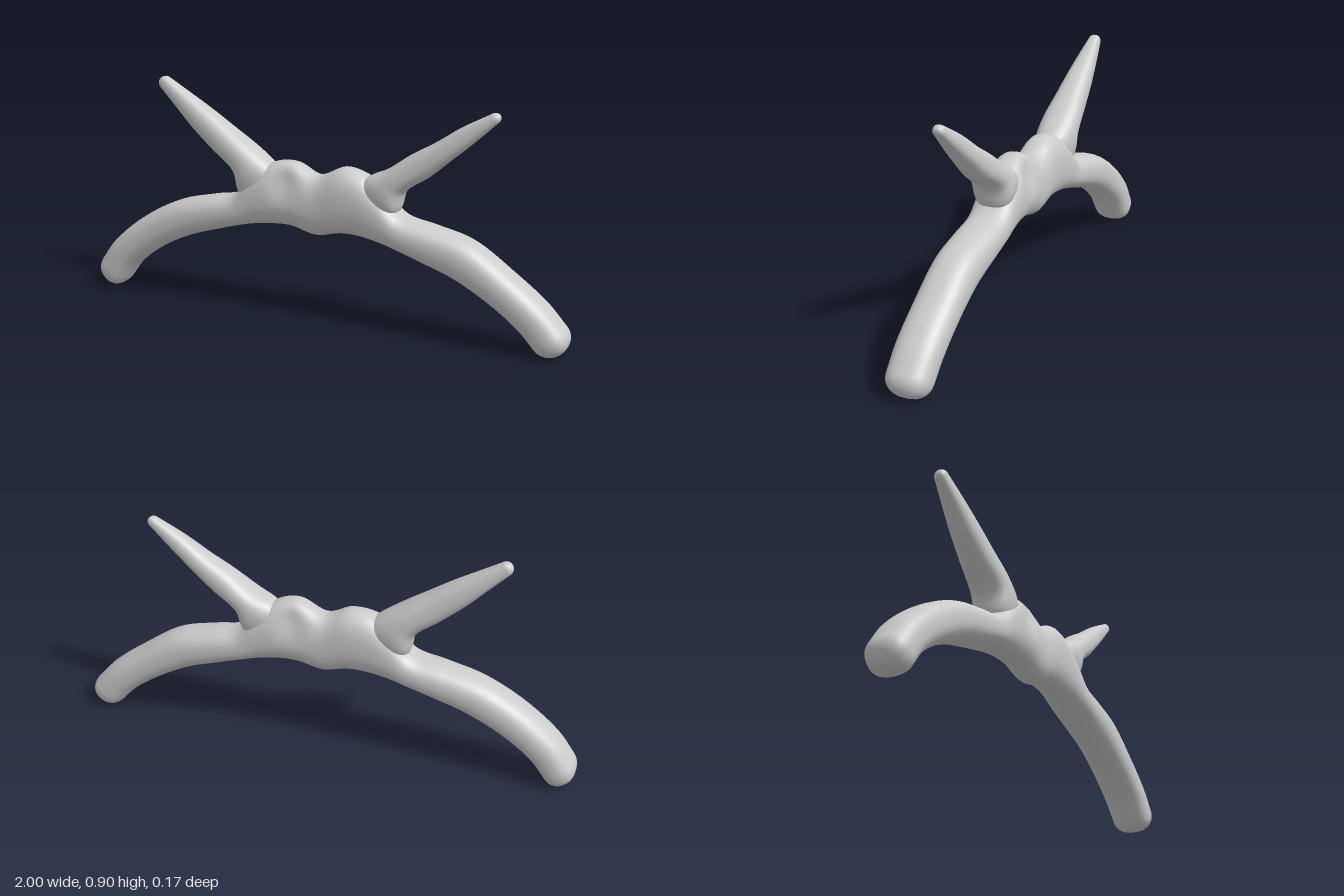
import * as THREE from 'three';

const material = new THREE.MeshStandardMaterial({ color: 0xcccccc });
const SIDES = 32;

// Smooth sweep through stations [topX, topY, bottomX, bottomY, halfDepth];
// dome lengths round off the first and last station (0 = flat, buried end).
function sweep(name, stations, steps, domeStart, domeEnd, warp) {
  const curve = (f) => new THREE.CatmullRomCurve3(stations.map(f));
  const top = curve((s) => new THREE.Vector3(s[0], s[1], s[4]));
  const bottom = curve((s) => new THREE.Vector3(s[2], s[3], s[4]));
  const rings = [];
  for (let i = 0; i <= steps; i++) {
    const a = top.getPoint(i / steps), b = bottom.getPoint(i / steps);
    rings.push({
      cx: (a.x + b.x) / 2, cy: (a.y + b.y) / 2,
      hx: (a.x - b.x) / 2, hy: (a.y - b.y) / 2, hz: a.z,
    });
  }

  // Rounded end rings that shrink along the outward direction
  const dome = (ring, inner, length) => {
    const dir = new THREE.Vector2(ring.cx - inner.cx, ring.cy - inner.cy).normalize();
    const out = [];
    for (let k = 1; k <= 7; k++) {
      const angle = (k / 7) * Math.PI / 2;
      const d = Math.sin(angle) * length, s = Math.max(Math.cos(angle), 0.01);
      out.push({
        cx: ring.cx + dir.x * d, cy: ring.cy + dir.y * d,
        hx: ring.hx * s, hy: ring.hy * s, hz: ring.hz * Math.pow(s, 0.8),
      });
    }
    return out;
  };
  const last = rings.length - 1;
  const all = [
    ...(domeStart ? dome(rings[0], rings[1], domeStart).reverse() : []),
    ...rings,
    ...(domeEnd ? dome(rings[last], rings[last - 1], domeEnd) : []),
  ];

  // Sweeps that run leftward across their section need the opposite winding
  const first = rings[0], end = rings[last];
  const flip = (end.cx - first.cx) * first.hy - (end.cy - first.cy) * first.hx < 0;

  // Slightly squared oval cross-sections
  const round = (v) => Math.sign(v) * Math.pow(Math.abs(v), 0.82);
  const p = new THREE.Vector3();
  const positions = [], index = [];
  all.forEach((r, i) => {
    for (let j = 0; j < SIDES; j++) {
      const angle = (j / SIDES) * Math.PI * 2;
      const c = round(Math.cos(angle)), s = round(Math.sin(angle));
      p.set(r.cx + r.hx * c, r.cy + r.hy * c, r.hz * s);
      if (warp) warp(p);
      positions.push(p.x, p.y, p.z);
      if (i === all.length - 1) continue;
      const here = i * SIDES + j, next = i * SIDES + (j + 1) % SIDES;
      const [a, b] = flip ? [next, here] : [here, next];
      index.push(a, b, a + SIDES, b, b + SIDES, a + SIDES);
    }
  });
  const geometry = new THREE.BufferGeometry();
  geometry.setAttribute('position', new THREE.Float32BufferAttribute(positions, 3));
  geometry.setIndex(index);
  geometry.computeVertexNormals();
  const mesh = new THREE.Mesh(geometry, material);
  mesh.name = name;
  return mesh;
}

// Shallow hollows: front of the right lobe, back of the left lobe
function dentLobes(p) {
  const side = p.z > 0 ? -1 : 1;
  const d2 = (p.x - side * 0.12) ** 2 + (p.y - 0.55) ** 2;
  p.z *= 1 - 0.32 * Math.exp(-d2 / 0.004);
}

export function createModel() {
  const group = new THREE.Group();
  group.name = 'forkedBow';

  // Arched bow, running tip to tip through the two-lobed middle
  group.add(sweep('bowBody', [
    [-0.985, 0.11, -0.883, 0.018, 0.082],
    [-0.92, 0.195, -0.82, 0.1, 0.084],
    [-0.78, 0.31, -0.7, 0.19, 0.084],
    [-0.62, 0.395, -0.56, 0.26, 0.084],
    [-0.47, 0.435, -0.44, 0.3, 0.084],
    [-0.35, 0.463, -0.33, 0.333, 0.084],
    [-0.27, 0.545, -0.26, 0.348, 0.084],
    [-0.19, 0.602, -0.18, 0.358, 0.084],
    [-0.1, 0.612, -0.1, 0.358, 0.083],
    [0, 0.572, 0, 0.335, 0.078],
    [0.11, 0.615, 0.1, 0.355, 0.083],
    [0.19, 0.598, 0.18, 0.355, 0.084],
    [0.27, 0.535, 0.26, 0.342, 0.084],
    [0.35, 0.457, 0.33, 0.325, 0.084],
    [0.47, 0.43, 0.44, 0.288, 0.084],
    [0.62, 0.39, 0.56, 0.245, 0.084],
    [0.78, 0.285, 0.7, 0.17, 0.084],
    [0.91, 0.185, 0.81, 0.09, 0.084],
    [0.985, 0.105, 0.878, 0.018, 0.082],
  ], 150, 0.065, 0.065, dentLobes));

  // Tapering prongs, flared where they leave the body
  group.add(sweep('leftProng', [
    [0.13, 0.53, 0.23, 0.4, 0.045],
    [0.21, 0.592, 0.328, 0.465, 0.077],
    [0.28, 0.625, 0.355, 0.545, 0.076],
    [0.375, 0.692, 0.45, 0.615, 0.064],
    [0.465, 0.745, 0.53, 0.685, 0.054],
    [0.565, 0.812, 0.612, 0.757, 0.04],
    [0.67, 0.87, 0.698, 0.838, 0.024],
  ], 60, 0, 0.028));

  group.add(sweep('rightProng', [
    [-0.13, 0.53, -0.23, 0.4, 0.045],
    [-0.2, 0.598, -0.332, 0.465, 0.077],
    [-0.28, 0.655, -0.355, 0.55, 0.076],
    [-0.38, 0.722, -0.45, 0.628, 0.064],
    [-0.48, 0.788, -0.54, 0.705, 0.052],
    [-0.58, 0.848, -0.62, 0.785, 0.038],
    [-0.653, 0.892, -0.686, 0.85, 0.025],
  ], 60, 0, 0.028));

  return group;
}
